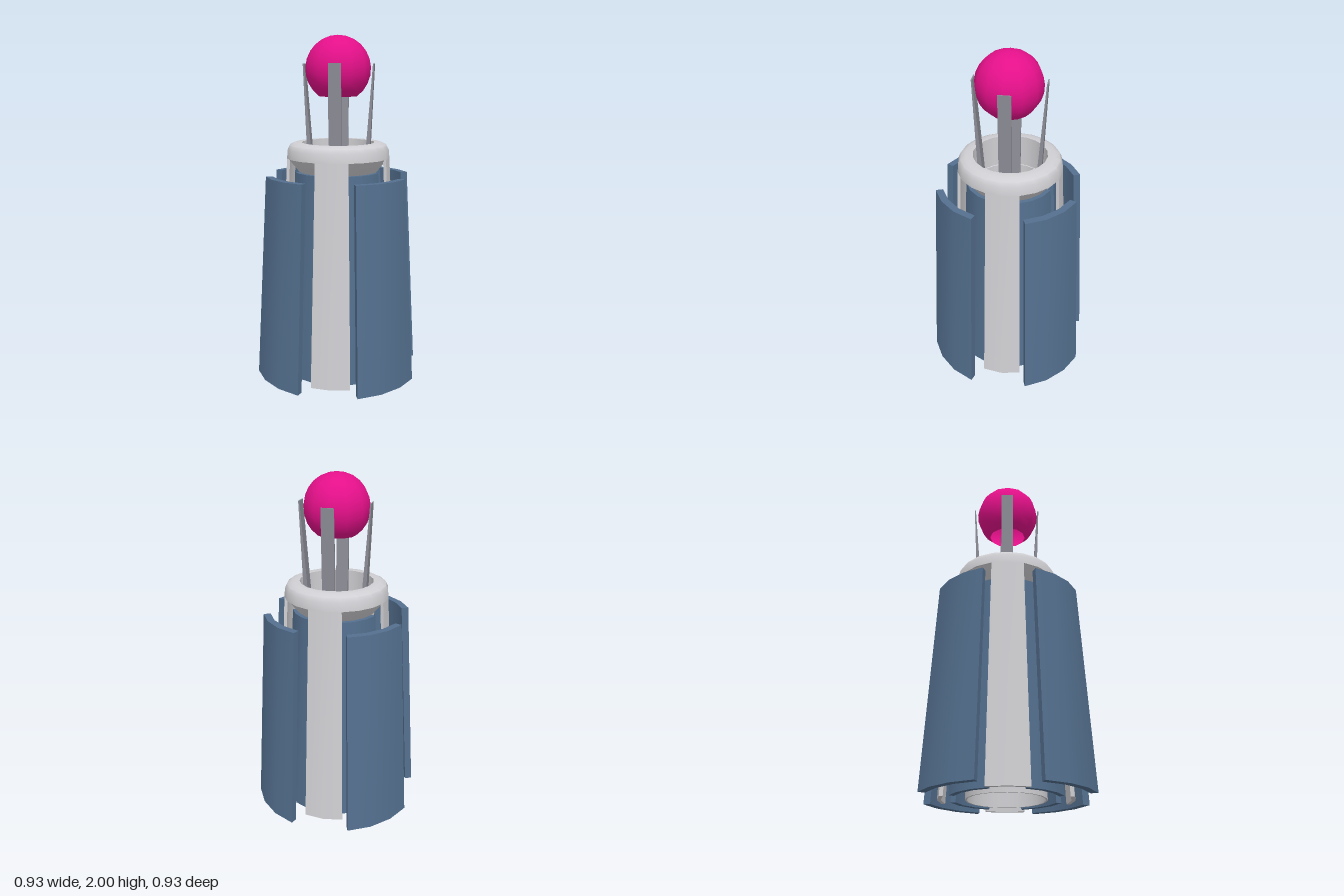
import * as THREE from 'three';
import { toCreasedNormals } from 'three/addons/utils/BufferGeometryUtils.js';

const material = (name, color) => {
  const m = new THREE.MeshStandardMaterial({ color, side: THREE.DoubleSide });
  m.name = name;
  return m;
};

// Curved panel: a four-cornered (radius, height) profile swept between two angles.
function sector(profile, from, to, steps) {
  const positions = [], index = [];
  for (let i = 0; i <= steps; i++) {
    const a = THREE.MathUtils.degToRad(from + (to - from) * i / steps);
    for (const [r, y] of profile) positions.push(r * Math.sin(a), y, r * Math.cos(a));
  }
  for (let i = 0; i < steps; i++) {
    for (let k = 0; k < 4; k++) {
      const a = i * 4 + k, d = i * 4 + (k + 1) % 4;
      index.push(a, a + 4, d + 4, a, d + 4, d);
    }
  }
  const e = steps * 4;
  index.push(0, 1, 2, 0, 2, 3, e, e + 2, e + 1, e, e + 3, e + 2);
  const g = new THREE.BufferGeometry();
  g.setAttribute('position', new THREE.Float32BufferAttribute(positions, 3));
  g.setIndex(index);
  return toCreasedNormals(g, Math.PI / 6);
}

function lathe(points, sides) {
  const g = new THREE.LatheGeometry(points.map(([r, y]) => new THREE.Vector2(r, y)), sides);
  return toCreasedNormals(g, Math.PI / 5);
}

export function createModel() {
  const model = new THREE.Group();
  model.name = 'tower';
  const shellGrey = material('shell grey', 0xd0d0d4);
  const panelBlue = material('panel blue', 0x54708f);
  const strutGrey = material('strut grey', 0x8c8c96);
  const ballPink = material('ball pink', 0xe5108a);

  const add = (parent, name, geometry, mat, turn = 0) => {
    const mesh = new THREE.Mesh(geometry, mat);
    mesh.name = name;
    mesh.rotation.y = turn;
    parent.add(mesh);
    return mesh;
  };

  // Body: rounded collar, inner tube, legs and recessed panels share one axis
  const body = new THREE.Group();
  body.name = 'body';
  body.position.z = -0.006;
  model.add(body);

  add(body, 'collar', lathe([
    [0.21, 1.2], [0.23, 1.22], [0.295, 1.3], [0.302, 1.3], [0.298, 1.35],
    [0.285, 1.375], [0.255, 1.39], [0.213, 1.39],
  ], 20), shellGrey);
  add(body, 'innerTube', lathe([
    [0.213, 0], [0.222, 0], [0.222, 1.25], [0.213, 1.39], [0.213, 0],
  ], 20), shellGrey);

  const leg = sector([[0.371, 0], [0.302, 1.3], [0.284, 1.3], [0.35, 0]], -18, 18, 2);
  const innerPanel = sector([[0.32, 0.005], [0.255, 1.22], [0.225, 1.22], [0.29, 0.005]], 18, 72, 3);
  const outerPanel = sector([[0.494, 0.008], [0.427, 1.2], [0.386, 1.2], [0.453, 0.008]], 20, 70, 3);

  // Struts: thin wedges leaning outward to hold the ball
  const wedge = new THREE.Shape([
    new THREE.Vector2(0.145, 1.15), new THREE.Vector2(0.176, 1.15),
    new THREE.Vector2(0.205, 1.84), new THREE.Vector2(0.198, 1.84),
  ]);
  const strut = new THREE.ExtrudeGeometry(wedge, { depth: 0.072, bevelEnabled: false });
  strut.translate(0, 0, -0.036);
  const struts = new THREE.Group();
  struts.name = 'struts';
  struts.position.set(0.005, 0, -0.006);
  model.add(struts);

  for (let i = 0; i < 4; i++) {
    const turn = i * Math.PI / 2;
    add(body, 'leg', leg, shellGrey, turn);
    add(body, 'innerPanel', innerPanel, panelBlue, turn);
    add(model, 'outerPanel', outerPanel, panelBlue, turn);
    add(struts, 'strut', strut, strutGrey, turn);
  }

  // Ball, open at its flat underside
  const ball = add(model, 'ball',
    new THREE.SphereGeometry(0.19, 12, 10, 0, Math.PI * 2, 0, 2.525), ballPink);
  ball.position.y = 1.81;

  return model;
}
